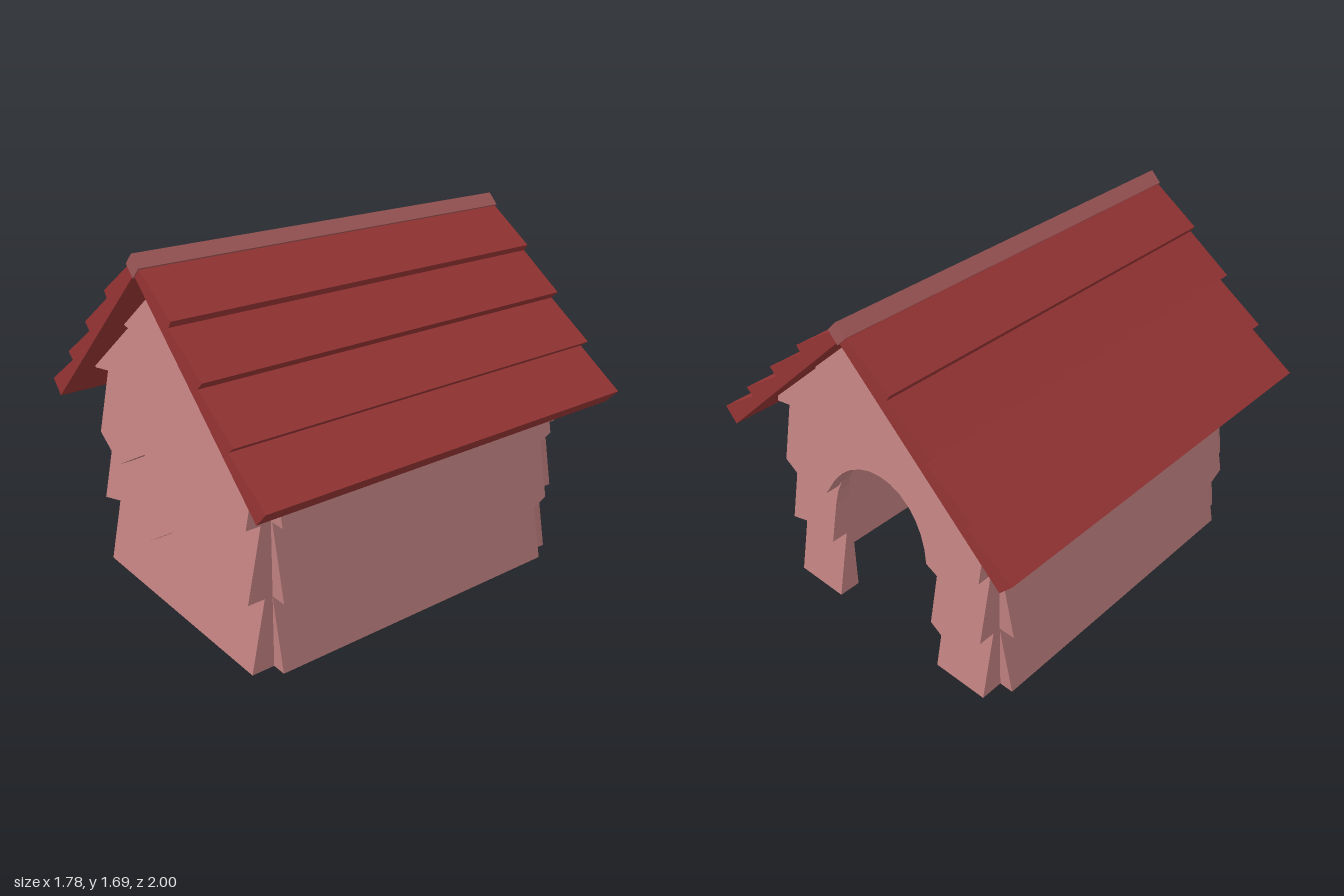
import * as THREE from 'three';

const material = (color) => new THREE.MeshStandardMaterial({ color, flatShading: true });

// Wall board courses: thickness at the lowest point, its height, top, jagged lower edge
const FLAT = [0, 0, 0, 0, 0, 0, 0];
const COURSES = [
  { thick: 0.11, y0: 0, top: 0.42, edge: FLAT },
  { thick: 0.14, y0: 0.25, top: 0.75, edge: [0.34, 0.39, 0.275, 0.405, 0.34, 0.25, 0.34] },
  { thick: 0.14, y0: 0.59, top: 1.06, edge: [0.685, 0.595, 0.71, 0.73, 0.66, 0.59, 0.68] },
  { thick: 0.12, y0: 1.01, top: 1.31, edge: [1.01, 1.04, 1.01, 1.035, 1.01, 1.04, 1.01] },
  { thick: 0.11, y0: 1.255, top: 1.62, edge: [1.285, 1.27, 1.285, 1.255, 1.285, 1.265, 1.285], half: 0.33 },
];
const LEAN = 0.21;
const DOOR = { radius: 0.33, spring: 0.55 };

const gable = (x) => 1.61 - 0.93 * Math.abs(x);
const arch = (x) => Math.abs(x) > DOOR.radius ? -1
  : DOOR.spring + Math.sqrt(Math.max(0, DOOR.radius ** 2 - x * x));

// One course of a wall: leaning boards, flat inside, cut by the gable and the door
function addCourse(wall, course, halfWidth, { isGable, hasDoor, maxTop }, mat) {
  const half = course.half ?? halfWidth;
  const zigzag = (x) => {
    const t = THREE.MathUtils.clamp((x / half + 1) * 3, 0, 6);
    const i = Math.min(5, Math.floor(t));
    return THREE.MathUtils.lerp(course.edge[i], course.edge[i + 1], t - i);
  };
  const top = (x) => Math.min(course.top, maxTop, isGable ? gable(x) : 9);
  const bottom = (x) => Math.max(zigzag(x), hasDoor ? arch(x) : -1);

  const xs = course.edge.map((_, i) => (i / 3 - 1) * half);
  const shoulder = (1.61 - course.top) / 0.93;
  if (isGable && shoulder < half) xs.push(-shoulder, shoulder);
  if (hasDoor) {
    for (let i = 0; i <= 16; i++) xs.push(DOOR.radius * Math.cos(i * Math.PI / 16));
    xs.push(-DOOR.radius - 0.0005, DOOR.radius + 0.0005);
  }
  xs.sort((a, b) => a - b);

  // Split into runs wherever the door takes the full height
  const runs = [[]];
  for (const x of xs) {
    const run = runs[runs.length - 1];
    if (top(x) - bottom(x) > 0.002) {
      if (!run.length || x - run[run.length - 1] > 1e-5) run.push(x);
    } else if (run.length) runs.push([]);
  }
  for (const run of runs) {
    if (run.length < 2) continue;
    const outline = [
      ...run.map((x) => new THREE.Vector2(x, bottom(x))),
      ...run.map((x) => new THREE.Vector2(x, top(x))).reverse(),
    ];
    const geo = new THREE.ExtrudeGeometry(new THREE.Shape(outline), { depth: 1, bevelEnabled: false });
    const p = geo.attributes.position;
    for (let i = 0; i < p.count; i++) {
      p.setZ(i, p.getZ(i) * (course.thick - LEAN * (p.getY(i) - course.y0)));
    }
    geo.computeVertexNormals();
    const boards = new THREE.Mesh(geo, mat);
    boards.name = 'wallBoards';
    wall.add(boards);
  }
}

function makeWall(name, halfWidth, distance, angle, options, mat) {
  const wall = new THREE.Group();
  wall.name = name;
  const count = options.isGable ? 5 : 3;
  for (const course of COURSES.slice(0, count)) addCourse(wall, course, halfWidth, options, mat);
  wall.rotation.y = angle;
  wall.position.set(Math.sin(angle) * distance, 0, Math.cos(angle) * distance);
  return wall;
}

export function createModel() {
  const model = new THREE.Group();
  model.name = 'kennel';
  const wallMat = material(0xc08080);
  const roofMat = material(0x963434);
  const ridgeMat = material(0xa05858);

  // Four walls, the arched doorway in the back one
  const walls = new THREE.Group();
  walls.name = 'walls';
  const end = { isGable: true, maxTop: 9 };
  const side = { isGable: false, maxTop: 1.015 };
  walls.add(
    makeWall('frontWall', 0.615, 0.78, 0, end, wallMat),
    makeWall('leftWall', 0.78, 0.575, Math.PI / 2, side, wallMat),
    makeWall('doorWall', 0.615, 0.78, Math.PI, { ...end, hasDoor: true }, wallMat),
    makeWall('rightWall', 0.78, 0.575, -Math.PI / 2, side, wallMat),
  );
  walls.position.x = -0.008;
  model.add(walls);

  // Roof slopes with stepped planks
  const profile = [
    [0, 1.6], [0, 1.66], [0.275, 1.475], [0.255, 1.445], [0.485, 1.285], [0.45, 1.25],
    [0.69, 1.09], [0.65, 1.06], [0.89, 0.9], [0.825, 0.83],
  ];
  for (const [name, s] of [['leftRoof', 1], ['rightRoof', -1]]) {
    const shape = new THREE.Shape(profile.map(([x, y]) => new THREE.Vector2(s * x, y)));
    const geo = new THREE.ExtrudeGeometry(shape, { depth: 1.99, bevelEnabled: false });
    geo.translate(0, 0, -0.995);
    const slope = new THREE.Mesh(geo, roofMat);
    slope.name = name;
    model.add(slope);
  }

  // Square ridge beam set on its corner
  const ridge = new THREE.Mesh(new THREE.BoxGeometry(0.072, 0.072, 2), ridgeMat);
  ridge.name = 'ridgeBeam';
  ridge.rotation.z = Math.PI / 4;
  ridge.position.y = 1.637;
  model.add(ridge);

  return model;
}
